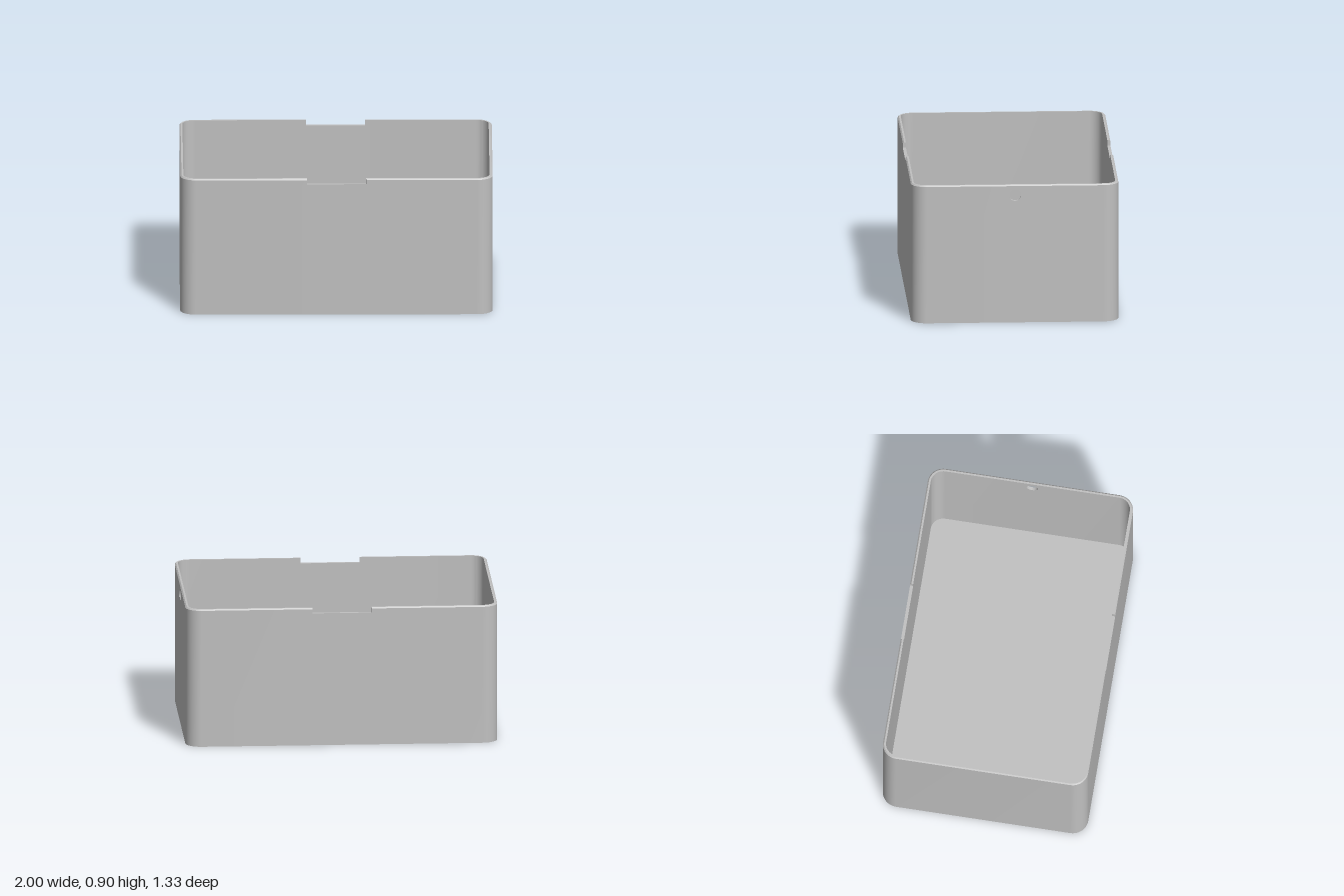
import * as THREE from 'three';
import { toCreasedNormals } from 'three/addons/utils/BufferGeometryUtils.js';

const HX = 1, HZ = 0.665, R = 0.1;      // half width, half depth, corner radius
const H = 0.905, WALL = 0.02, CH = 0.008; // height, wall thickness, rim chamfer
const NOTCH = 0.19, NOTCH_Y = 0.87;
const HOLE_Y = 0.838, HOLE_R = 0.038, PANEL = 0.1;

// Points (with outward normals) around one corner, running from angle a0 to a1
function corner(sx, sz, a0, a1, n = 12) {
  const pts = [];
  for (let i = 0; i <= n; i++) {
    const a = a0 + (a1 - a0) * i / n, nx = Math.cos(a), nz = Math.sin(a);
    pts.push({ x: sx * (HX - R) + R * nx, z: sz * (HZ - R) + R * nz, nx, nz });
  }
  return pts;
}

// Sweep a closed convex profile of [inset, y] points along a wall path, with end caps
function sweep(path, profile) {
  const pos = [];
  const at = (p, [inset, y]) => [p.x - p.nx * inset, y, p.z - p.nz * inset];
  const tri = (a, b, c) => pos.push(...a, ...b, ...c);
  const m = profile.length;
  for (let i = 0; i < path.length - 1; i++) {
    for (let j = 0; j < m; j++) {
      const k = (j + 1) % m;
      const a = at(path[i], profile[j]), b = at(path[i + 1], profile[j]);
      const c = at(path[i + 1], profile[k]), d = at(path[i], profile[k]);
      tri(a, b, c);
      tri(a, c, d);
    }
  }
  const s = profile.map(q => at(path[0], q));
  const e = profile.map(q => at(path[path.length - 1], q));
  for (let j = 1; j < m - 1; j++) {
    tri(s[0], s[j], s[j + 1]);
    tri(e[0], e[j + 1], e[j]);
  }
  const g = new THREE.BufferGeometry();
  g.setAttribute('position', new THREE.Float32BufferAttribute(pos, 3));
  return toCreasedNormals(g, 0.5);
}

export function createModel() {
  const group = new THREE.Group();
  const grey = new THREE.MeshStandardMaterial({ color: 0xc0c0c0 });
  grey.name = 'grey';
  const add = (name, geometry) => {
    const mesh = new THREE.Mesh(geometry, grey);
    mesh.name = name;
    group.add(mesh);
    return mesh;
  };

  // Wall profiles: full height with chamfered rim, lowered at the notches, rim only
  const rimFrom = y => [[0, y], [0, H - CH], [CH, H], [WALL, H], [WALL, y]];
  const full = rimFrom(0);
  const low = [[0, 0], [0, NOTCH_Y], [WALL, NOTCH_Y], [WALL, 0]];
  const cap = [[0, H - CH], [CH, H], [WALL, H], [WALL, H - CH]];

  const front = x => ({ x, z: HZ, nx: 0, nz: 1 });
  const back = x => ({ x, z: -HZ, nx: 0, nz: -1 });
  const left = z => ({ x: HX, z, nx: 1, nz: 0 });
  const q = Math.PI / 2;

  // Walls between the notches
  add('frontLeftWall', sweep([front(NOTCH), ...corner(1, 1, q, 0), left(PANEL)], full));
  add('backLeftWall', sweep([left(-PANEL), ...corner(1, -1, 0, -q), back(NOTCH)], full));
  add('rightWall', sweep([back(-NOTCH), ...corner(-1, -1, -q, -2 * q),
    ...corner(-1, 1, 2 * q, q), front(-NOTCH)], full));

  // Lowered wall under each notch
  add('frontNotchWall', sweep([front(-NOTCH), front(NOTCH)], low));
  add('backNotchWall', sweep([back(NOTCH), back(-NOTCH)], low));

  // Wall panel with the round cable hole, and its rim
  const panel = new THREE.Shape();
  panel.moveTo(-PANEL, 0).lineTo(PANEL, 0).lineTo(PANEL, H - CH).lineTo(-PANEL, H - CH).closePath();
  panel.holes.push(new THREE.Path().absarc(0, HOLE_Y, HOLE_R, 0, Math.PI * 2, true));
  const plate = add('holePanel', new THREE.ExtrudeGeometry(panel,
    { depth: WALL, bevelEnabled: false, curveSegments: 20 }));
  plate.rotation.y = q;
  plate.position.x = HX - WALL;
  add('holePanelRim', sweep([left(PANEL), left(-PANEL)], cap));

  // Floor filling the space between the walls
  const outline = [...corner(1, 1, q, 0), ...corner(1, -1, 0, -q),
    ...corner(-1, -1, -q, -2 * q), ...corner(-1, 1, 2 * q, q)]
    .map(p => new THREE.Vector2(p.x - p.nx * WALL, -(p.z - p.nz * WALL)));
  const floor = add('floor', new THREE.ExtrudeGeometry(new THREE.Shape(outline),
    { depth: WALL, bevelEnabled: false }));
  floor.rotation.x = -q;

  return group;
}
